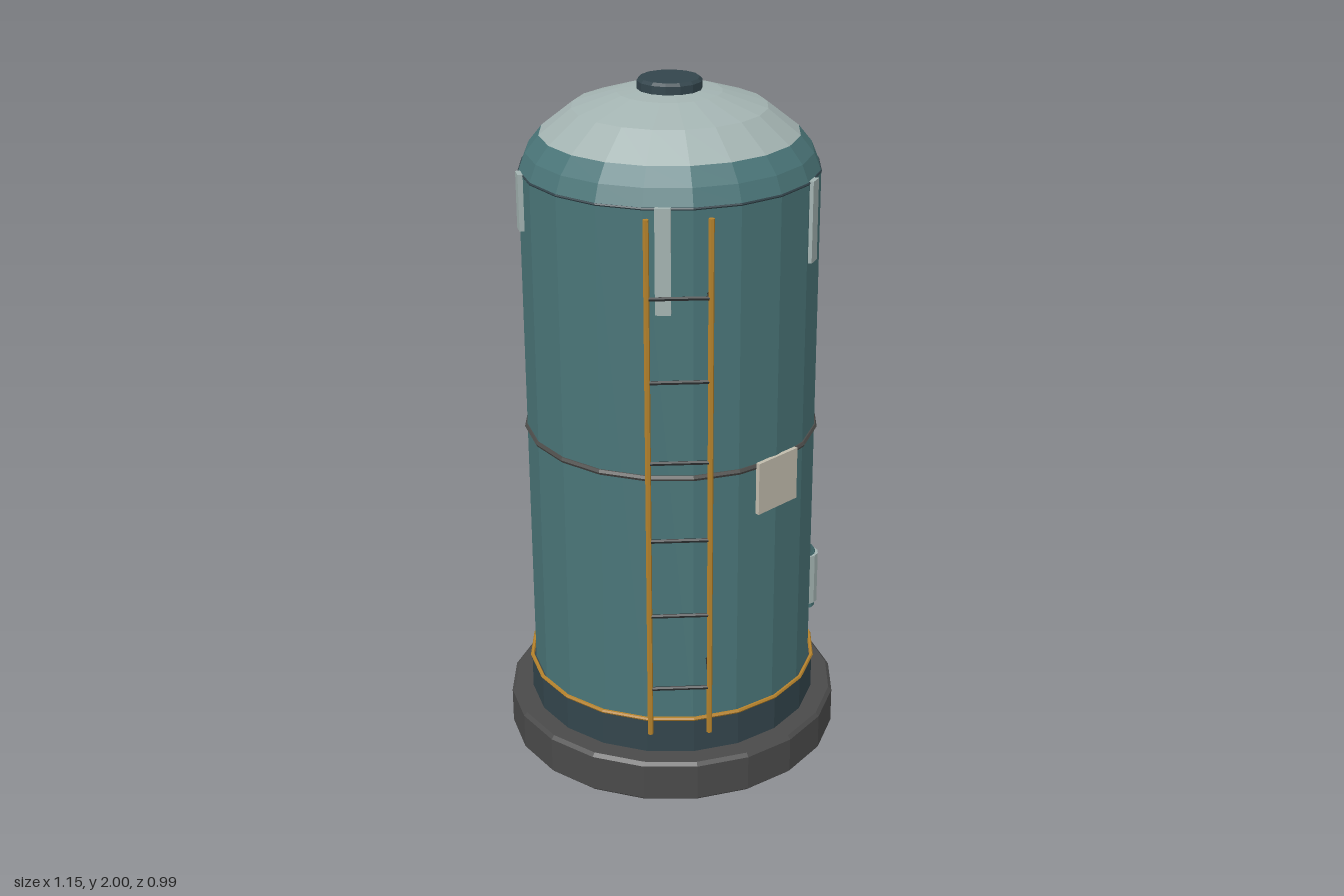
import * as THREE from 'three';

const SIDES = 20;
const CX = -0.08; // axis of the tank

const mat = (color) => new THREE.MeshStandardMaterial({ color, flatShading: true });
const teal = mat(0x4a7578), pale = mat(0xa3b3b1), dark = mat(0x33454c), concrete = mat(0x4a4a4a);
const gold = mat(0xb5822c), iron = mat(0x2b2f30), band = mat(0x4c4c4a), plateMat = mat(0xc0bbac);

function add(parent, name, geometry, material, x = 0, y = 0, z = 0) {
  const mesh = new THREE.Mesh(geometry, material);
  mesh.name = name;
  mesh.position.set(x, y, z);
  parent.add(mesh);
  return mesh;
}

// Turned part from [radius, height] pairs, bottom to top
const lathe = (points, sides = SIDES) =>
  new THREE.LatheGeometry(points.map(([r, y]) => new THREE.Vector2(r, y)), sides);

// Straight round bar between two points
function bar(parent, name, a, b, radius, material, sides = 8) {
  const from = new THREE.Vector3(...a), to = new THREE.Vector3(...b);
  const dir = to.clone().sub(from);
  const mesh = add(parent, name, new THREE.CylinderGeometry(radius, radius, dir.length(), sides), material);
  mesh.position.copy(from).add(to).multiplyScalar(0.5);
  mesh.quaternion.setFromUnitVectors(new THREE.Vector3(0, 1, 0), dir.normalize());
  return mesh;
}

function hoop(parent, name, radius, tube, y, material) {
  const g = new THREE.TorusGeometry(radius, tube, 6, SIDES).rotateX(Math.PI / 2);
  return add(parent, name, g, material, 0, y, 0);
}

function makeTank() {
  const tank = new THREE.Group();
  tank.name = 'tank';
  tank.position.x = CX;

  add(tank, 'basePlinth', lathe([[0, 0], [0.487, 0], [0.495, 0.008], [0.495, 0.115], [0.485, 0.125], [0, 0.125]]), concrete);
  add(tank, 'skirt', lathe([[0.43, 0.12], [0.43, 0.228], [0.41, 0.228]]), dark);
  add(tank, 'shell', lathe([[0.418, 0.2], [0.418, 1.755]]), teal);
  add(tank, 'shoulder', lathe([[0.418, 1.755], [0.398, 1.805], [0.36, 1.852]]), teal);
  add(tank, 'dome', lathe([[0.36, 1.852], [0.27, 1.923], [0.145, 1.963], [0, 1.98]]), pale);
  add(tank, 'topCap', lathe([[0.09, 1.96], [0.09, 1.992], [0.082, 2], [0, 2]], 14), dark);

  hoop(tank, 'bottomHoop', 0.429, 0.006, 0.234, gold);
  hoop(tank, 'middleHoop', 0.417, 0.009, 0.995, band);
  hoop(tank, 'topSeam', 0.416, 0.004, 1.755, dark);

  // Name plate on the front
  add(tank, 'plate', new THREE.BoxGeometry(0.155, 0.155, 0.012), plateMat, 0, 0.932, 0.42);

  // Pale strips hanging from the shoulder: [x, z, lower end]
  const strips = [[-0.31, 0.29, 1.47], [0.16, 0.393, 1.53], [0.41, -0.13, 1.55], [0.073, -0.42, 1.385], [-0.365, -0.22, 1.6]];
  for (const [x, z, low] of strips) {
    const angle = Math.atan2(x, z), r = 0.42;
    const strip = add(tank, 'strip', new THREE.BoxGeometry(0.042, 1.76 - low, 0.014), pale,
      Math.sin(angle) * r, (1.76 + low) / 2, Math.cos(angle) * r);
    strip.rotation.y = angle;
  }
  return tank;
}

function makeLadder() {
  const ladder = new THREE.Group();
  ladder.name = 'ladder';
  const feet = [[-0.473, 0.315], [-0.348, 0.425]];
  for (const [x, z] of feet) {
    bar(ladder, 'rail', [x, 0.235, z], [x, 1.755, z], 0.008, gold, 6);
    for (const y of [0.425, 1.525]) bar(ladder, 'bracket', [x, y, z], [x + 0.055, y, z - 0.06], 0.007, iron, 6);
  }
  for (let i = 0; i < 6; i++) {
    const y = 0.382 + i * 0.232;
    bar(ladder, 'rung', [feet[0][0], y, feet[0][1]], [feet[1][0], y, feet[1][1]], 0.006, iron, 6);
  }
  return ladder;
}

function makeSpout() {
  const spout = new THREE.Group();
  spout.name = 'spout';
  const path = [[0.32, 0.385, 0], [0.465, 0.385, 0], [0.53, 0.32, 0], [0.53, 0.13, 0]];
  bar(spout, 'flange', [0.332, 0.385, 0], [0.358, 0.385, 0], 0.06, dark, 14);
  for (let i = 0; i < 3; i++) bar(spout, 'pipe', path[i], path[i + 1], 0.034, teal, 10);
  for (const p of path.slice(1, 3)) add(spout, 'elbow', new THREE.SphereGeometry(0.034, 10, 8), teal, ...p);
  bar(spout, 'sleeve', [0.53, 0.325, 0], [0.53, 0.15, 0], 0.042, pale, 12);
  return spout;
}

export function createModel() {
  const model = new THREE.Group();
  model.name = 'storageTank';
  model.add(makeTank(), makeLadder(), makeSpout());
  return model;
}
